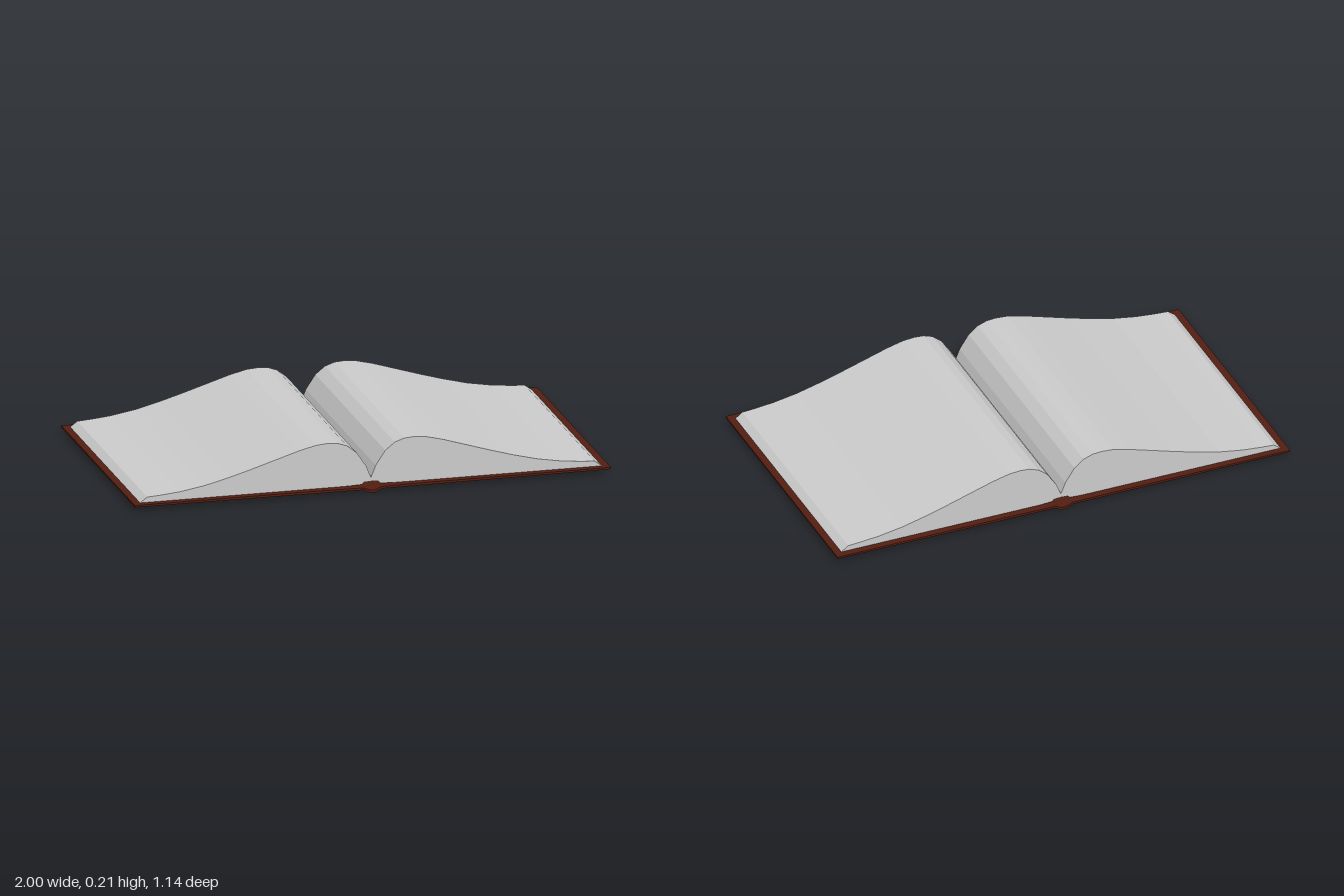
import * as THREE from 'three';

// Extrudes an x-y outline along z, centred on z = 0
function extrudeSection(points, depth, material, name) {
  const shape = new THREE.Shape(points.map(([x, y]) => new THREE.Vector2(x, y)));
  const geometry = new THREE.ExtrudeGeometry(shape, { depth, bevelEnabled: false });
  geometry.translate(0, 0, -depth / 2);
  const mesh = new THREE.Mesh(geometry, material);
  mesh.name = name;
  return mesh;
}

export function createModel() {
  const book = new THREE.Group();
  book.name = 'openBook';
  const paper = new THREE.MeshStandardMaterial({ color: 0xcccccc, flatShading: true });
  const leather = new THREE.MeshStandardMaterial({ color: 0x541e12, flatShading: true });

  // Page block: arched top from the gutter to the fore edge, raised underside at the spine
  const pageHalf = [
    [0, 0.055], [0.02, 0.105], [0.06, 0.165], [0.1, 0.197], [0.14, 0.211], [0.18, 0.214],
    [0.23, 0.21], [0.3, 0.193], [0.4, 0.162], [0.5, 0.131], [0.6, 0.102], [0.7, 0.077],
    [0.8, 0.06], [0.88, 0.052], [0.94, 0.048], [0.97, 0.026],
    [0.3, 0.026], [0.1, 0.026], [0.04, 0.028], [0.03, 0.037], [0, 0.039],
  ];
  for (const [side, name] of [[1, 'leftPages'], [-1, 'rightPages']]) {
    const outline = pageHalf.map(([x, y]) => [side * x, y]);
    book.add(extrudeSection(outline, 1.08, paper, name));
  }

  // Cover: two thin boards joined by a spine that dips below them
  const topEdge = [[1, 0.026], [0.24, 0.025], [0.04, 0.023], [0.012, 0.011]];
  const underEdge = [[0.012, 0], [0.04, 0.014], [0.24, 0.015], [1, 0.018]];
  const mirror = (points) => points.map(([x, y]) => [-x, y]).reverse();
  const cover = [...topEdge, ...mirror(topEdge), ...mirror(underEdge), ...underEdge];
  book.add(extrudeSection(cover, 1.14, leather, 'cover'));

  return book;
}
